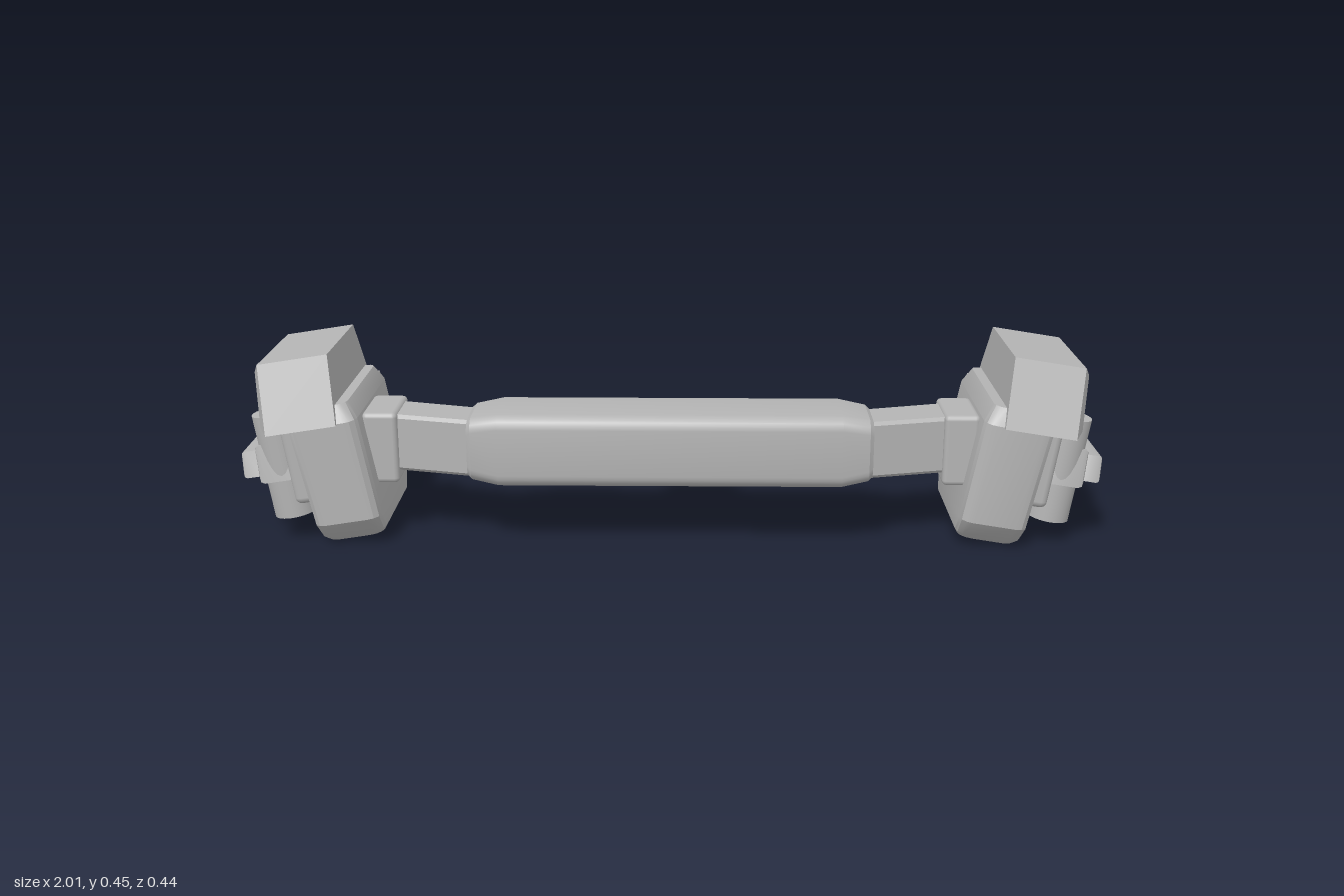
import * as THREE from 'three';
import { toCreasedNormals } from 'three/addons/utils/BufferGeometryUtils.js';
import { RoundedBoxGeometry } from 'three/addons/geometries/RoundedBoxGeometry.js';

const grey = new THREE.MeshStandardMaterial({ color: 0xb4b4b4 });
grey.name = 'plain grey';

// Rectangle outline with corners cut by c in n steps, as [a, b] pairs
function ring(a0, a1, b0, b1, c, n = 1) {
  const centres = [[a1 - c, b1 - c], [a0 + c, b1 - c], [a0 + c, b0 + c], [a1 - c, b0 + c]];
  const pts = [];
  centres.forEach(([a, b], k) => {
    for (let i = 0; i <= n; i++) {
      const t = (k + i / n) * Math.PI / 2;
      pts.push([a + c * Math.cos(t), b + c * Math.sin(t)]);
    }
  });
  return pts;
}

// Closed solid through rings stacked along y: sections are [height, ring]
function loft(sections, crease = 0.45) {
  const rows = sections.map(([h, r]) => r.map(([a, b]) => new THREE.Vector3(a, h, b)));
  const out = [];
  const tri = (...v) => v.forEach((p) => out.push(p.x, p.y, p.z));
  const n = rows[0].length;
  const mid = (row) => row.reduce((s, p) => s.add(p), new THREE.Vector3()).divideScalar(n);
  const last = rows[rows.length - 1];
  const c0 = mid(rows[0]), c1 = mid(last);
  for (let i = 0; i < n; i++) {
    const j = (i + 1) % n;
    for (let k = 0; k + 1 < rows.length; k++) {
      const p = rows[k], q = rows[k + 1];
      tri(p[i], q[i], p[j]);
      tri(p[j], q[i], q[j]);
    }
    tri(c0, rows[0][i], rows[0][j]);
    tri(c1, last[j], last[i]);
  }
  const g = new THREE.BufferGeometry();
  g.setAttribute('position', new THREE.Float32BufferAttribute(out, 3));
  return toCreasedNormals(g, crease);
}

function add(parent, name, geometry) {
  const m = new THREE.Mesh(geometry, grey);
  m.name = name;
  parent.add(m);
  return m;
}

// Box given by its lower and upper limits
function box(x0, x1, y0, y1, z0, z1, r = 0.006) {
  return new RoundedBoxGeometry(x1 - x0, y1 - y0, z1 - z0, 2, r)
    .translate((x0 + x1) / 2, (y0 + y1) / 2, (z0 + z1) / 2);
}

// Bevelled trapezoid in the z-y plane, raised along x
function trapezoid(zBottom, zTop, y0, y1, x0, x1, bevel) {
  const s = new THREE.Shape();
  const b = bevel;
  s.moveTo(-zBottom + b, y0 + b);
  s.lineTo(zBottom - b, y0 + b);
  s.lineTo(zTop - b, y1 - b);
  s.lineTo(-zTop + b, y1 - b);
  const g = new THREE.ExtrudeGeometry(s, {
    depth: x1 - x0 - 2 * b, bevelEnabled: true, bevelSize: b, bevelThickness: b, bevelSegments: 2,
  });
  return toCreasedNormals(g.rotateY(Math.PI / 2).translate(x0 + b, 0, 0), 0.5);
}

// Lid with sloping ends and an inset outer face
function lidGeometry() {
  const quad = (zb, zt, y0, y1) => [[y0, zb], [y0, -zb], [y1, -zt], [y1, zt]];
  // Stacked along y, then turned so that the stack runs along x
  const flip = (r) => r.map(([y, z]) => [-y, z]).reverse();
  const g = loft([
    [-0.027, flip(quad(0.21, 0.148, 0.288, 0.443))],
    [0.138, flip(quad(0.21, 0.148, 0.288, 0.443))],
    [0.157, flip(quad(0.168, 0.114, 0.3, 0.42))],
  ], 0.1);
  return g.rotateZ(-Math.PI / 2);
}

// Clip with a protruding lip, facing -z
function clip(parent, name, x, y, z, w, h) {
  const g = new THREE.Group();
  g.name = name;
  g.position.set(x, y, z);
  add(g, 'clipPlate', box(-w * 0.5, w * 0.5, -h * 0.5, h * 0.5, -0.012, 0.03, 0.005));
  add(g, 'clipLip', box(-w * 0.5, w * 0.5, h * 0.28, h * 0.52, -0.032, 0.01, 0.003));
  add(g, 'clipFoot', box(-w * 0.4, w * 0.4, -h * 0.4, -h * 0.2, -0.018, 0.01, 0.003));
  for (const s of [-1, 1]) {
    add(g, 'clipCheek', box(s * w * 0.42 - 0.005, s * w * 0.42 + 0.005, -h * 0.4, h * 0.4, -0.02, 0.01, 0.002));
  }
  parent.add(g);
}

// Left-hand pod, arm and mount
function buildSide() {
  const side = new THREE.Group();
  const pod = new THREE.Group();
  pod.name = 'pod';
  pod.position.set(0.742, 0.014, 0.012);
  pod.rotation.z = -0.157;
  side.add(pod);

  add(pod, 'podBody', loft([
    [0, ring(-0.066, 0.068, -0.158, 0.158, 0.03, 3)],
    [0.012, ring(-0.075, 0.077, -0.17, 0.17, 0.03, 3)],
    [0.052, ring(-0.078, 0.08, -0.2, 0.2, 0.03, 3)],
    [0.29, ring(-0.07, 0.094, -0.2, 0.2, 0.03, 3)],
    [0.33, ring(-0.053, 0.094, -0.178, 0.178, 0.025, 3)],
  ]));
  add(pod, 'podLid', lidGeometry());
  add(pod, 'backingPlate', box(0.06, 0.115, 0.105, 0.295, -0.182, 0.182, 0.016));

  // Row of three canisters held by a strap and bar
  for (let i = -1; i <= 1; i++) {
    const tube = new THREE.CylinderGeometry(0.05, 0.05, 0.25, 32);
    add(pod, 'canister', tube).position.set(0.137, 0.195, i * 0.111);
  }
  add(pod, 'strap', trapezoid(0.162, 0.148, 0.162, 0.252, 0.1, 0.193, 0.014));
  add(pod, 'bar', trapezoid(0.142, 0.126, 0.175, 0.236, 0.18, 0.233, 0.01));
  clip(pod, 'podClip', 0.01, 0.258, -0.202, 0.115, 0.08);

  // Mount and the arm that sweeps forward to the handle
  add(side, 'mount', box(0.637, 0.72, 0.137, 0.308, -0.028, 0.138, 0.012));
  const arm = loft([
    [0.43, ring(-0.068, 0.068, 0.055, 0.178, 0.008)],
    [0.47, ring(-0.068, 0.068, 0.047, 0.168, 0.008)],
    [0.66, ring(-0.068, 0.068, -0.008, 0.12, 0.008)],
  ]);
  add(side, 'arm', arm.rotateZ(-Math.PI / 2).translate(0, 0.233, 0));
  return side;
}

// Copy of a group reflected in x, with triangle corners reordered
function mirrored(group) {
  const copy = new THREE.Group();
  group.updateMatrixWorld(true);
  group.traverse((o) => {
    if (!o.isMesh) return;
    const g = o.geometry.index ? o.geometry.toNonIndexed() : o.geometry.clone();
    g.applyMatrix4(o.matrixWorld);
    for (const key of ['position', 'normal']) {
      const a = g.attributes[key].array;
      for (let i = 0; i < a.length; i += 9) {
        for (let k = 0; k < 3; k++) [a[i + 3 + k], a[i + 6 + k]] = [a[i + 6 + k], a[i + 3 + k]];
      }
      for (let i = 0; i < a.length; i += 3) a[i] = -a[i];
    }
    add(copy, o.name, g);
  });
  return copy;
}

export function createModel() {
  const model = new THREE.Group();
  model.name = 'beltWithPods';

  const left = buildSide();
  left.name = 'leftSide';
  const right = mirrored(left);
  right.name = 'rightSide';
  model.add(left, right);

  // Padded centre section with tapered ends
  const pad = (x, d) => [x, ring(-0.085 + d, 0.085 - d, 0.022 + d, 0.22 - d, 0.03, 5)];
  const padGeo = loft([
    pad(-0.467, 0.018), pad(-0.458, 0.011), pad(-0.395, 0),
    pad(0.395, 0), pad(0.458, 0.011), pad(0.467, 0.018),
  ]);
  add(model, 'pad', padGeo.rotateZ(-Math.PI / 2).translate(0, 0.239, 0));

  // Fittings along the back of the pad
  add(model, 'centrePlate', box(-0.108, 0.108, 0.192, 0.288, -0.014, 0.04, 0.012));
  clip(model, 'centreClip', 0, 0.24, -0.022, 0.17, 0.07);
  for (const s of [-1, 1]) {
    add(model, 'backStrip', box(s * 0.303 - 0.1, s * 0.303 + 0.1, 0.222, 0.256, 0.002, 0.03, 0.005));
    add(model, 'backTab', box(s * 0.303 - 0.058, s * 0.303 + 0.058, 0.204, 0.274, 0.006, 0.03, 0.005));
  }
  return model;
}
